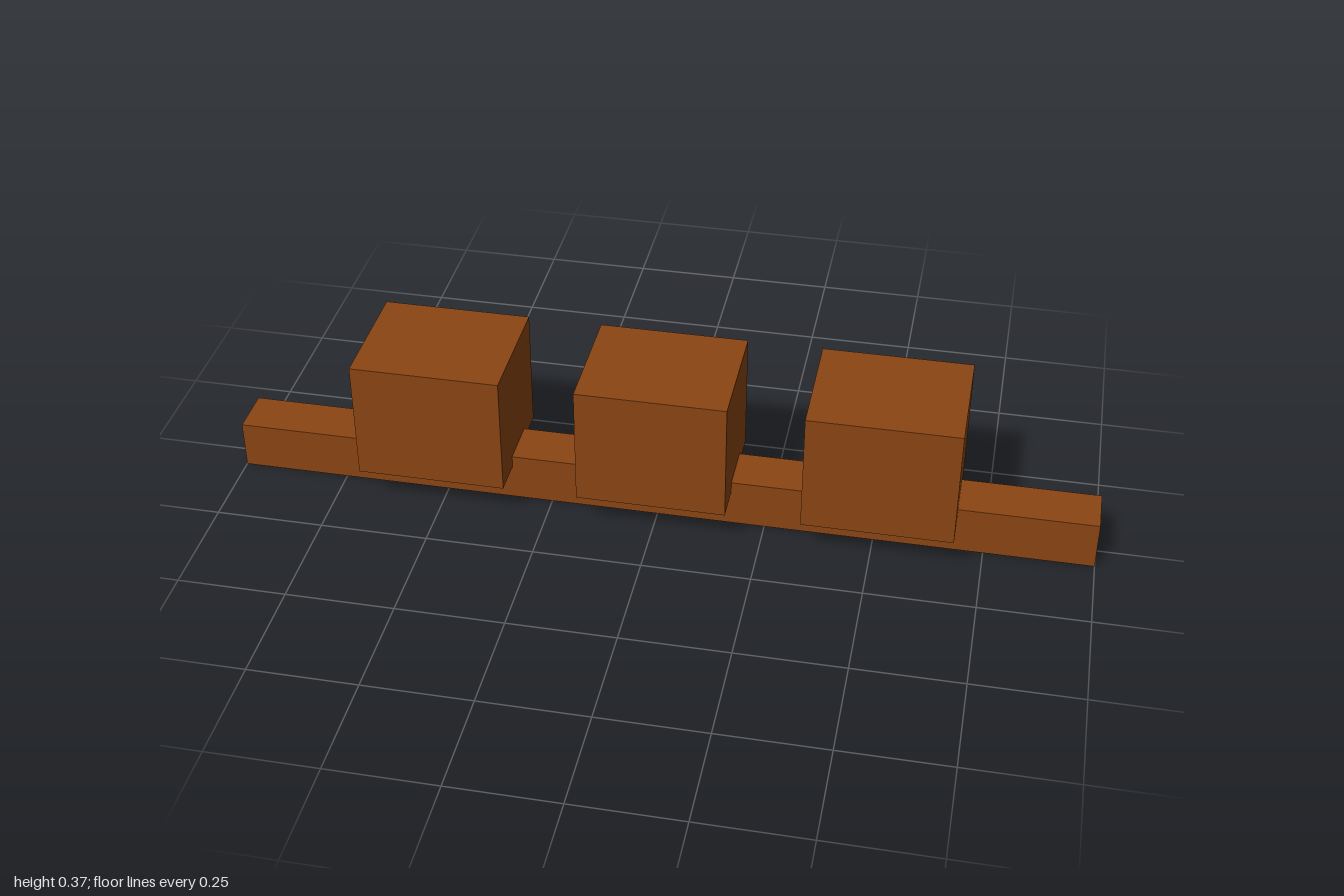
import * as THREE from 'three';

export function createModel() {
  const model = new THREE.Group();
  model.name = 'blocksOnBeam';
  const brown = new THREE.MeshStandardMaterial({ color: 0x8b4513 });
  brown.name = 'brown wood';

  function addBox(name, width, height, depth, x, bottom) {
    const mesh = new THREE.Mesh(new THREE.BoxGeometry(width, height, depth), brown);
    mesh.name = name;
    mesh.position.set(x, bottom + height / 2, 0);
    model.add(mesh);
  }

  // Long square beam lying on the ground
  addBox('beam', 2, 0.114, 0.114, 0, 0);

  // Three evenly spaced blocks, sunk slightly into the beam
  ['rightBlock', 'middleBlock', 'leftBlock'].forEach((name, i) => {
    addBox(name, 0.343, 0.286, 0.286, (i - 1) * 0.514, 0.086);
  });

  return model;
}
